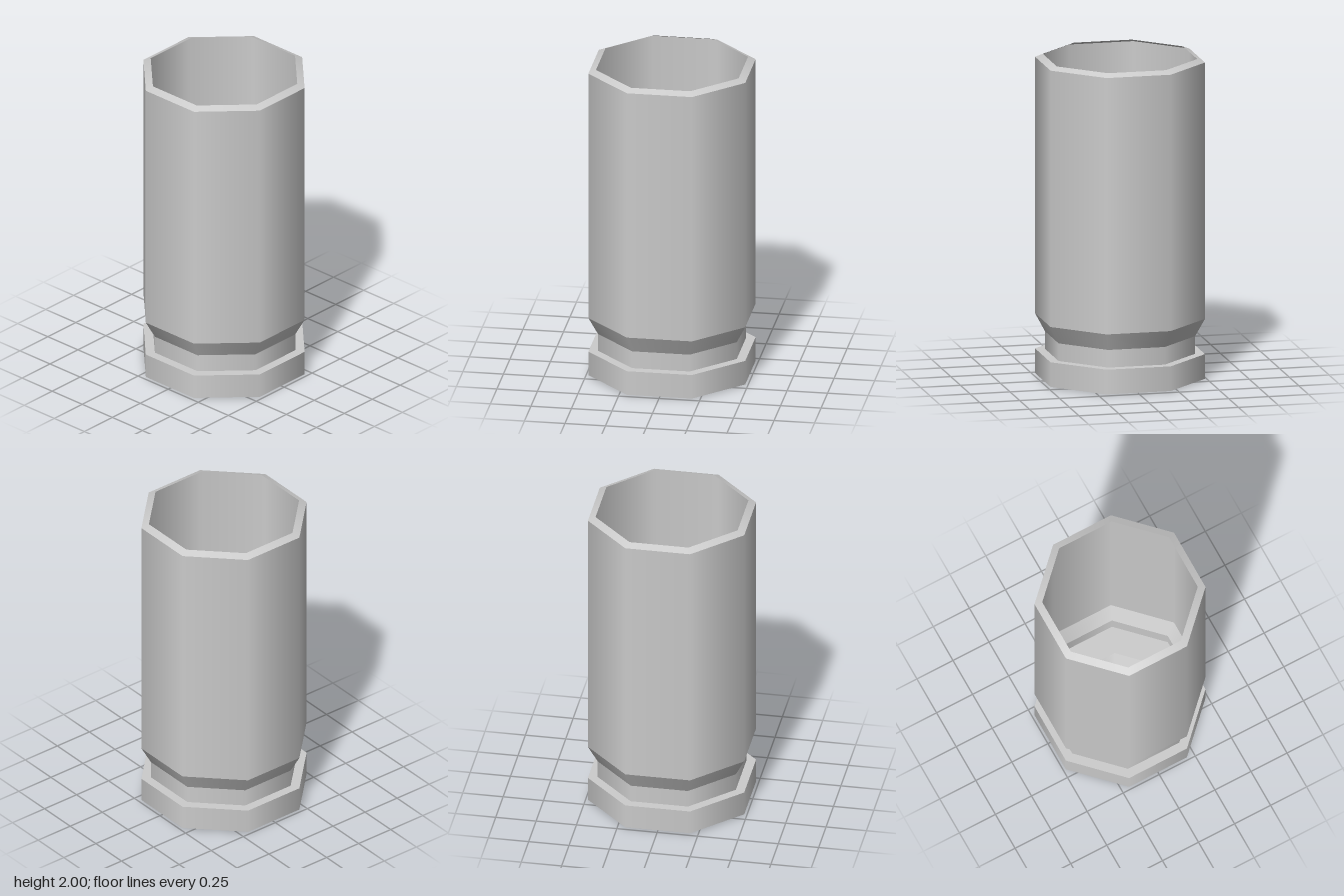
import * as THREE from 'three';

const SIDES = 8;
const TURN = Math.PI / SIDES; // puts flat sides on the axes

export function createModel() {
  const model = new THREE.Group();
  model.name = 'casing';
  const metal = new THREE.MeshStandardMaterial({ color: 0xcccccc, side: THREE.DoubleSide });
  metal.name = 'greyMetal';

  // Each part is a profile of [distance to flat side, height]; every band
  // is smooth around the axis and has sharp edges above and below.
  function addPart(name, profile) {
    const part = new THREE.Group();
    part.name = name;
    for (let i = 0; i < profile.length - 1; i++) {
      const points = [profile[i], profile[i + 1]].map(
        ([r, y]) => new THREE.Vector2(r / Math.cos(TURN), y));
      const band = new THREE.Mesh(new THREE.LatheGeometry(points, SIDES, TURN), metal);
      band.name = `${name}Band${i + 1}`;
      part.add(band);
    }
    model.add(part);
  }

  // Centre cap standing in a recess of the base
  addPart('centreCap', [[0, 0], [0.22, 0], [0.283, 0.12]]);
  addPart('recess', [[0.283, 0.12], [0.357, 0.12], [0.357, 0.006]]);
  // Base flange
  addPart('baseFlange', [[0.357, 0.006], [0.484, 0.006], [0.484, 0.16], [0.428, 0.16]]);
  // Groove and flared shoulder
  addPart('groove', [[0.428, 0.16], [0.428, 0.27], [0.484, 0.38]]);
  // Hollow body with a bevelled, open rim
  addPart('body', [[0.484, 0.38], [0.484, 1.98]]);
  addPart('rim', [[0.484, 1.98], [0.44, 2]]);

  return model;
}
